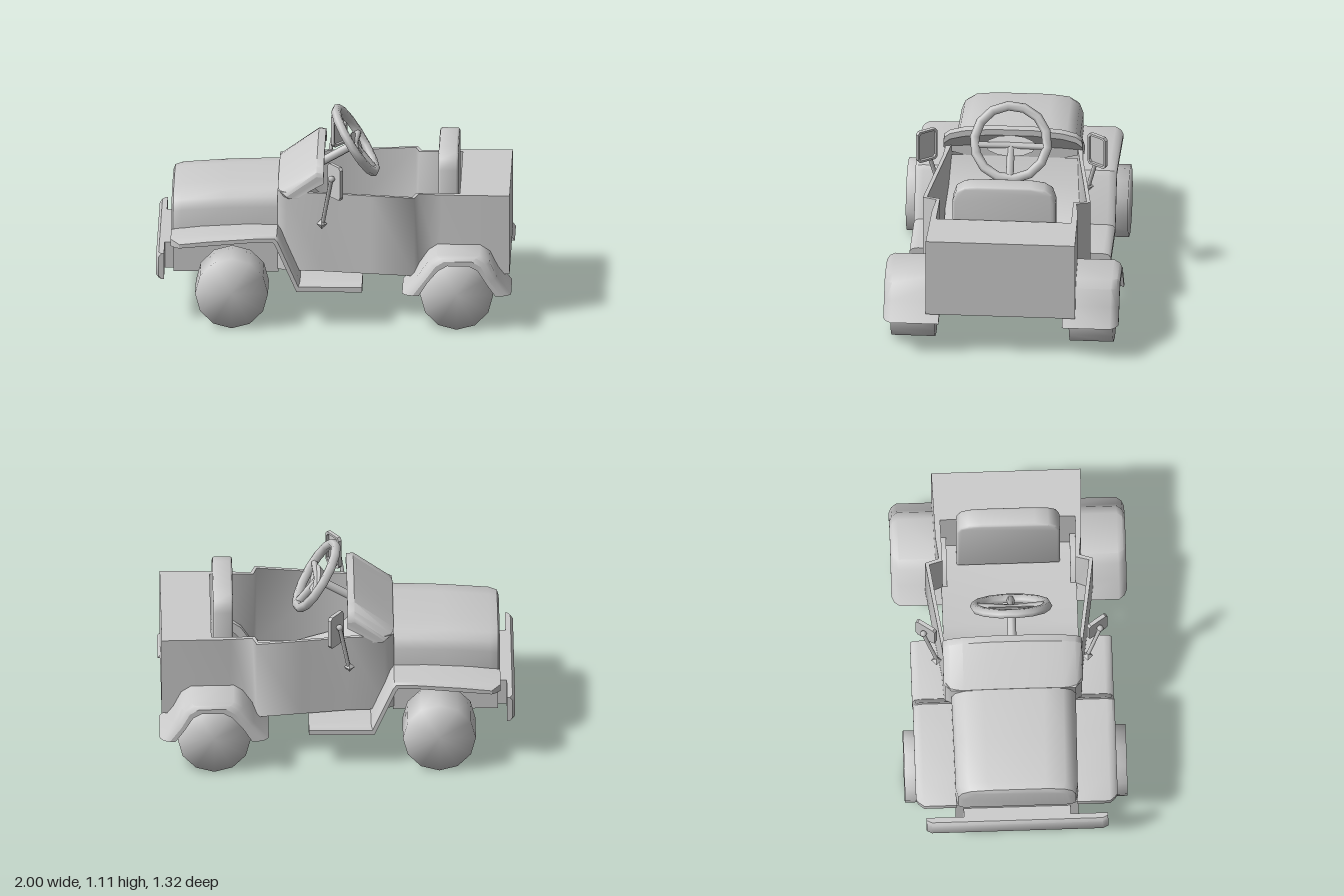
import * as THREE from 'three';
import { toCreasedNormals, mergeVertices } from 'three/addons/utils/BufferGeometryUtils.js';

const material = new THREE.MeshStandardMaterial({ color: 0xcccccc, side: THREE.DoubleSide });

function add(parent, name, geometry) {
  const mesh = new THREE.Mesh(geometry, material);
  mesh.name = name;
  parent.add(mesh);
  return mesh;
}

// Skin a row of equal-length rings ([x, y, z] points) and cap both ends.
// flatAxes are the two coordinates used to triangulate the caps.
function loft(rings, flatAxes, crease = 0.75) {
  const n = rings[0].length, index = [];
  for (let r = 0; r < rings.length - 1; r++) {
    for (let i = 0; i < n; i++) {
      const a = r * n + i, b = r * n + (i + 1) % n;
      index.push(a, b, b + n, a, b + n, a + n);
    }
  }
  for (const r of [0, rings.length - 1]) {
    const flat = rings[r].map(p => new THREE.Vector2(p[flatAxes[0]], p[flatAxes[1]]));
    for (const f of THREE.ShapeUtils.triangulateShape(flat, [])) {
      const t = f.map(i => i + r * n);
      index.push(...(r ? t : t.reverse()));
    }
  }
  const g = new THREE.BufferGeometry();
  g.setAttribute('position', new THREE.Float32BufferAttribute(rings.flat(2), 3));
  g.setIndex(index);
  return toCreasedNormals(g, crease);
}

// Bent sheet between an upper and a lower line; the outer edge is softened
// and its two ends are cut back by cutStart and cutEnd.
function sheet(upper, lower, z0, z1, s, cutStart, cutEnd) {
  const mid = (upper[0][0] + upper[upper.length - 1][0]) / 2;
  const ring = (z, drop, cut) => {
    const shift = x => x + (x < mid ? cutStart : -cutEnd) * cut;
    const top = upper.map(([x, y], i) => [shift(x + (lower[i][0] - x) * drop), y + (lower[i][1] - y) * drop, s * z]);
    const bottom = lower.map(([x, y]) => [shift(x), y, s * z]);
    return [...top, ...bottom.reverse()];
  };
  return loft([ring(z0, 0, 0), ring(z1 - 0.045, 0, 0), ring(z1 - 0.015, 0.12, 0.5), ring(z1, 0.45, 1)], [0, 1]);
}

// Straight round bar between two points.
function rod(parent, name, a, b, r, sides = 8) {
  const p = new THREE.Vector3(...a), q = new THREE.Vector3(...b);
  const mesh = add(parent, name, new THREE.CylinderGeometry(r, r, p.distanceTo(q), sides));
  mesh.position.copy(p).add(q).multiplyScalar(0.5);
  mesh.quaternion.setFromUnitVectors(new THREE.Vector3(0, 1, 0), q.sub(p).normalize());
}

function block(parent, name, x0, x1, y0, y1, halfZ) {
  add(parent, name, new THREE.BoxGeometry(x1 - x0, y1 - y0, halfZ * 2))
    .position.set((x0 + x1) / 2, (y0 + y1) / 2, 0);
}

// Closed outline from one half, reflected in the second coordinate.
function mirrored(points) {
  return [...points, ...points.slice().reverse().map(([x, z]) => [x, -z])].map(p => new THREE.Vector2(...p));
}

export function createModel() {
  const car = new THREE.Group();
  car.name = 'openCar';

  // Tub: open cockpit, boxed in behind the seat
  const plan = new THREE.Shape(mirrored([[-0.32, 0.35], [-0.27, 0.382], [-0.06, 0.395], [0.2, 0.435], [0.45, 0.472],
    [0.475, 0.395], [0.6, 0.41], [0.985, 0.42]]));
  plan.holes.push(new THREE.Path(mirrored([[-0.3, 0.34], [-0.06, 0.375], [0.44, 0.448], [0.46, 0.375], [0.705, 0.38]])));
  const tub = new THREE.ExtrudeGeometry(plan, { depth: 0.46, bevelEnabled: false });
  add(car, 'tub', toCreasedNormals(tub.rotateX(-Math.PI / 2).translate(0, 0.265, 0), 1.45));

  // Floor with sloping footwell
  const floorLine = [[0.72, 0.3], [0.225, 0.3], [0.02, 0.36], [-0.12, 0.5], [-0.2, 0.66]];
  const floorLow = floorLine.map(([x, y], i) => [x - (i > 1 ? 0.02 : 0), y - 0.034]);
  const floorRing = z => [...floorLine, ...floorLow.slice().reverse()].map(([x, y]) => [x, y, z]);
  add(car, 'floor', loft([floorRing(-0.38), floorRing(0.38)], [0, 1]));

  // Cowl: slanted dashboard hood, lofted across the width
  const cowl = (z, drop, front, low) => [[front, 0.735 - drop * 0.4], [-0.1, 0.905 - drop], [-0.06, 0.9 - drop],
    [-0.06, 0.865 - drop], [-0.2, 0.725 - drop * 0.3], [-0.2, low], [front + 0.02, low]].map(([x, y]) => [x, y, z]);
  const half = [[0.392, 0.085, -0.27, 0.69], [0.387, 0.06, -0.28, 0.69], [0.355, 0.035, -0.31, 0.68],
    [0.28, 0.015, -0.32, 0.66], [0.12, 0, -0.32, 0.66]];
  add(car, 'cowl', loft([...half.map(([z, ...rest]) => cowl(-z, ...rest)),
    ...half.slice().reverse().map(([z, ...rest]) => cowl(z, ...rest))], [0, 1]));

  // Hood: rounded cross-sections from nose to cowl
  const hoodRing = (x, w, low, top) => {
    const side = [[w, low], [w, top - 0.1], [w - 0.02, top - 0.045], [w - 0.07, top - 0.012], [w - 0.18, top]];
    return [...side, ...side.slice().reverse().map(([z, y]) => [-z, y])].map(([z, y]) => [x, y, z]);
  };
  add(car, 'hood', loft([hoodRing(-0.917, 0.3, 0.45, 0.67), hoodRing(-0.907, 0.33, 0.45, 0.69),
    hoodRing(-0.86, 0.343, 0.45, 0.702), hoodRing(-0.6, 0.346, 0.45, 0.72), hoodRing(-0.3, 0.35, 0.45, 0.728)], [2, 1]));
  block(car, 'engineBay', -0.905, -0.315, 0.245, 0.455, 0.345);

  // Bumper with its bracket
  block(car, 'bumperBracket', -0.965, -0.9, 0.25, 0.4, 0.3);
  const bumper = (y, k) => [[-0.985 + k, -0.51], [-1 + k, -0.48], [-1 + k, 0.48], [-0.985 + k, 0.51],
    [-0.955, 0.51], [-0.955, -0.51]].map(([x, z]) => [x, y, z]);
  add(car, 'bumper', loft([bumper(0.25, 0.015), bumper(0.27, 0), bumper(0.38, 0), bumper(0.4, 0.015)], [0, 2]));

  // Wheels: soft-shaded drums
  const drum = new THREE.CylinderGeometry(0.205, 0.205, 0.247, 12).rotateX(Math.PI / 2);
  drum.deleteAttribute('uv');
  drum.deleteAttribute('normal');
  const softDrum = mergeVertices(drum, 1e-4);
  softDrum.computeVertexNormals();
  for (const x of [-0.573, 0.692]) {
    for (const s of [1, -1]) add(car, 'wheel', softDrum).position.set(x, 0.205, s * 0.502);
  }

  for (const s of [1, -1]) {
    // Front fender running down into the step
    add(car, 'frontFender', sheet(
      [[-0.918, 0.49], [-0.75, 0.51], [-0.5, 0.525], [-0.32, 0.525], [-0.3, 0.5], [-0.19, 0.25], [0.16, 0.25]],
      [[-0.918, 0.45], [-0.75, 0.465], [-0.5, 0.487], [-0.345, 0.49], [-0.33, 0.47], [-0.21, 0.198], [0.16, 0.198]],
      0.34, 0.567, s, 0.05, 0));
    // Rear fender arch
    add(car, 'rearFender', sheet(
      [[0.385, 0.21], [0.47, 0.31], [0.53, 0.4], [0.58, 0.435], [0.82, 0.435], [0.875, 0.4], [0.92, 0.31], [0.998, 0.21]],
      [[0.45, 0.21], [0.5, 0.29], [0.56, 0.36], [0.61, 0.387], [0.79, 0.387], [0.84, 0.36], [0.89, 0.28], [0.94, 0.21]],
      0.347, 0.662, s, 0.03, 0.03));

    // Side mirror: rimmed plate on an arm, angled toward the driver
    const mirror = new THREE.Group();
    mirror.name = 'sideMirror';
    const head = new THREE.Group();
    head.name = 'mirrorHead';
    const outline = [[-0.097, 0.05], [-0.08, 0.064], [0.08, 0.064], [0.097, 0.05]];
    const rim = new THREE.Shape(mirrored(outline));
    rim.holes.push(new THREE.Path(mirrored(outline.map(([y, x]) => [y * 0.87, x * 0.83]))));
    const back = new THREE.Shape(mirrored(outline));
    for (const [name, shape, z, depth] of [['mirrorRim', rim, -0.006, 0.016], ['mirrorPlate', back, -0.012, 0.006]]) {
      add(head, name, new THREE.ExtrudeGeometry(shape, { depth, bevelEnabled: false })
        .translate(0, 0, z).rotateZ(Math.PI / 2));
    }
    head.position.set(0.008, 0.823, s * 0.48);
    head.rotation.y = Math.PI / 2 + s * 0.6;
    mirror.add(head);
    rod(mirror, 'mirrorArm', [-0.016, 0.84, s * 0.497], [-0.065, 0.56, s * 0.425], 0.012, 6);
    add(mirror, 'mirrorMount', new THREE.OctahedronGeometry(0.03)).position.set(-0.07, 0.555, s * 0.425);
    add(mirror, 'mirrorPivot', new THREE.OctahedronGeometry(0.02, 1)).position.set(-0.014, 0.843, s * 0.497);
    car.add(mirror);
  }

  // Seat back
  const seat = new THREE.Shape(mirrored([[0.3, 0.29], [0.83, 0.29], [0.89, 0.27], [0.918, 0.225], [0.928, 0.15]]));
  const seatGeometry = new THREE.ExtrudeGeometry(seat, {
    depth: 0.085, bevelSize: 0.014, bevelThickness: 0.014, bevelOffset: -0.014, bevelSegments: 2,
  });
  seatGeometry.translate(0, 0, -0.0425).rotateZ(Math.PI / 2).rotateY(Math.PI / 2);
  add(car, 'seat', toCreasedNormals(seatGeometry, 0.8)).position.x = 0.638;

  // Steering wheel, spokes and column
  const steering = new THREE.Group();
  steering.name = 'steering';
  const axis = new THREE.Vector3(0.845, 0.535, 0).normalize();
  const ring = add(steering, 'steeringRim', new THREE.TorusGeometry(0.206, 0.027, 6, 14));
  ring.position.set(0.11, 0.912, 0);
  ring.quaternion.setFromUnitVectors(new THREE.Vector3(0, 0, 1), axis);
  const boss = add(steering, 'steeringHub', new THREE.CylinderGeometry(0.06, 0.05, 0.03, 12).scale(1, 1, 2.4));
  boss.position.set(0.105, 0.885, 0);
  boss.quaternion.setFromUnitVectors(new THREE.Vector3(0, 1, 0), axis);
  for (const s of [1, -1]) rod(steering, 'spoke', [0.105, 0.89, 0], [0.12, 0.895, s * 0.2], 0.02, 6);
  rod(steering, 'spoke', [0.105, 0.885, 0], [0.215, 0.745, 0], 0.022, 6);
  rod(steering, 'steeringColumn', [0.105, 0.89, 0], [-0.14, 0.75, 0], 0.025, 8);
  car.add(steering);

  return car;
}
